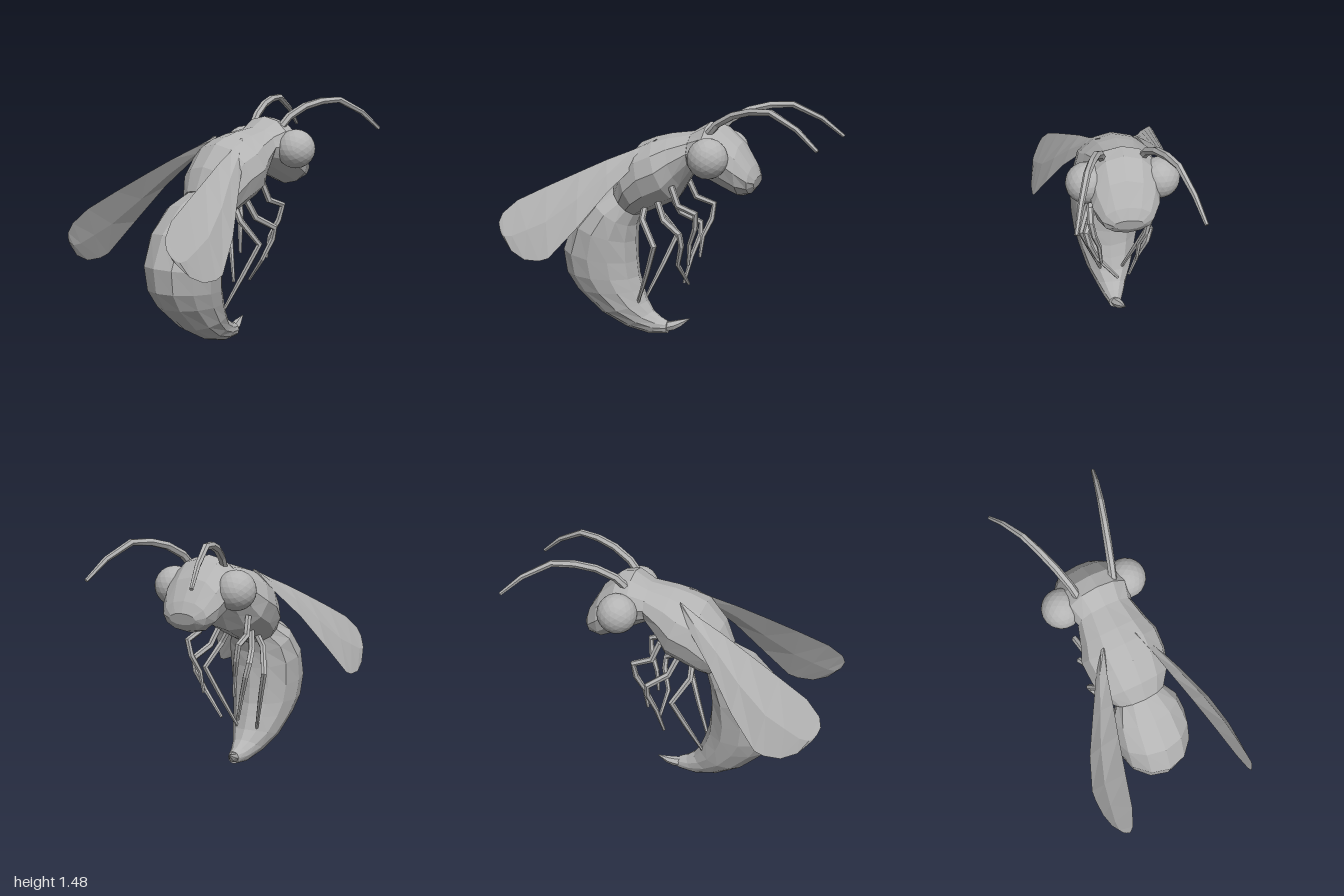
import * as THREE from 'three';

const MID = 0.018; // body's centre plane
const grey = new THREE.MeshStandardMaterial({ color: 0xb4b4b4, flatShading: true });
grey.name = 'grey';
const V = (x, y, z) => new THREE.Vector3(x, y, z);

// Skin a row of equal-length rings, close both ends and face the surface outwards
function loft(name, rings) {
  const tris = [];
  const n = rings[0].length;
  for (let i = 0; i + 1 < rings.length; i++) {
    for (let j = 0; j < n; j++) {
      const k = (j + 1) % n;
      const [a, b, c, d] = [rings[i][j], rings[i][k], rings[i + 1][k], rings[i + 1][j]];
      tris.push([a, b, c], [a, c, d]);
    }
  }
  const cap = (ring, flip) => {
    const mid = V(0, 0, 0);
    ring.forEach(p => mid.addScaledVector(p, 1 / n));
    ring.forEach((p, j) => {
      const q = ring[(j + 1) % n];
      tris.push(flip ? [mid, q, p] : [mid, p, q]);
    });
  };
  cap(rings[0], true);
  cap(rings[rings.length - 1], false);
  let volume = 0;
  for (const [a, b, c] of tris) volume += a.dot(b.clone().cross(c));
  if (volume < 0) tris.forEach(t => t.reverse());
  const geo = new THREE.BufferGeometry().setFromPoints(tris.flat());
  geo.computeVertexNormals();
  const mesh = new THREE.Mesh(geo, grey);
  mesh.name = name;
  return mesh;
}

// Body section from its top point, bottom point and half width
function section([tx, ty, bx, by, w], sides = 12) {
  return Array.from({ length: sides }, (_, j) => {
    const a = (j / sides) * Math.PI * 2;
    const t = (1 - Math.cos(a)) / 2;
    return V(tx + (bx - tx) * t, ty + (by - ty) * t, MID + w * Math.sin(a));
  });
}

// Tapering limb swept through points
function limb(name, pts, r0, r1, sides = 6) {
  const last = pts.length - 1;
  const rings = pts.map((p, i) => {
    const dir = pts[Math.min(i + 1, last)].clone().sub(pts[Math.max(i - 1, 0)]).normalize();
    const u = V(0, 0, 1).addScaledVector(dir, -dir.z).normalize();
    const v = dir.clone().cross(u);
    const r = r0 + (r1 - r0) * (i / last) ** 3;
    return Array.from({ length: sides }, (_, j) => {
      const a = (j / sides) * Math.PI * 2;
      return p.clone().addScaledVector(u, r * Math.cos(a)).addScaledVector(v, r * Math.sin(a));
    });
  });
  return loft(name, rings);
}

// Body profiles: top x, top y, bottom x, bottom y, half width
const HEAD = [
  [0.13, 1.305, 0.14, 1.08, 0.17],
  [0.25, 1.375, 0.24, 1.03, 0.205],
  [0.34, 1.36, 0.36, 0.97, 0.21],
  [0.45, 1.26, 0.45, 0.932, 0.195],
  [0.53, 1.13, 0.51, 0.95, 0.15],
  [0.557, 1.06, 0.54, 0.99, 0.09],
];
const THORAX = [
  [0.15, 1.315, 0.15, 1.07, 0.18],
  [0.0, 1.295, 0.09, 0.97, 0.215],
  [-0.1, 1.27, 0.04, 0.885, 0.25],
  [-0.2, 1.23, -0.09, 0.825, 0.245],
  [-0.31, 1.1, -0.17, 0.79, 0.22],
  [-0.37, 0.96, -0.22, 0.77, 0.165],
];
const ABDOMEN = [
  [-0.34, 0.97, -0.21, 0.79, 0.14],
  [-0.5, 0.885, -0.24, 0.7, 0.215],
  [-0.65, 0.73, -0.245, 0.6, 0.237],
  [-0.725, 0.54, -0.237, 0.47, 0.23],
  [-0.705, 0.39, -0.225, 0.37, 0.215],
  [-0.635, 0.28, -0.2, 0.29, 0.19],
  [-0.47, 0.13, -0.17, 0.21, 0.15],
  [-0.3, 0.04, -0.13, 0.15, 0.1],
  [-0.15, 0.005, -0.08, 0.115, 0.065],
  [-0.03, 0.015, -0.03, 0.095, 0.038],
];

// Wing ribs: leading x, y, trailing x, y
const WING = [
  [-0.065, 1.265, -0.075, 1.245],
  [-0.2, 1.2, -0.15, 1.13],
  [-0.36, 1.135, -0.31, 0.955],
  [-0.52, 1.06, -0.47, 0.74],
  [-0.72, 0.965, -0.63, 0.555],
  [-0.9, 0.875, -0.69, 0.535],
  [-0.985, 0.795, -0.79, 0.535],
  [-1.0, 0.74, -0.885, 0.58],
  [-0.985, 0.7, -0.96, 0.66],
];

function wing(name, s) {
  const spread = y => 0.11 + 0.74 * (1.255 - y) - 0.3 * (1.255 - y) ** 2;
  const rings = WING.map(([lx, ly, tx, ty], i) => {
    const mx = (lx + tx) / 2, my = (ly + ty) / 2;
    const h = i === WING.length - 1 ? 0.004 : 0.012;
    return [
      V(lx, ly, s * spread(ly)),
      V(mx, my + h * 0.5, s * (spread(my) + h)),
      V(tx, ty, s * spread(ty)),
      V(mx, my - h * 0.5, s * (spread(my) - h)),
    ];
  });
  return loft(name, rings);
}

// Leg paths as x, y and distance from the centre plane
const LEGS = {
  FrontLeg: [[0.05, 0.99, 0.155], [0.1, 0.875, 0.17], [0.215, 0.835, 0.18], [0.205, 0.74, 0.16], [0.16, 0.635, 0.125], [0.145, 0.5, 0.11]],
  MiddleLeg: [[-0.05, 0.88, 0.12], [0.0, 0.775, 0.15], [0.12, 0.705, 0.2], [0.125, 0.63, 0.18], [0.085, 0.5, 0.13], [0.08, 0.34, 0.04]],
  RearLeg: [[-0.14, 0.86, 0.1], [-0.14, 0.77, 0.15], [-0.04, 0.62, 0.215], [-0.11, 0.44, 0.15], [-0.205, 0.215, 0.07]],
};
const ANTENNA = [[0.27, 1.31], [0.33, 1.375], [0.44, 1.435], [0.56, 1.465], [0.69, 1.47], [0.86, 1.385], [0.99, 1.275]];

export function createModel() {
  const model = new THREE.Group();
  model.name = 'wasp';
  model.add(
    loft('head', HEAD.map(r => section(r))),
    loft('thorax', THORAX.map(r => section(r))),
    loft('abdomen', ABDOMEN.map(r => section(r))),
    limb('stinger', [V(-0.05, 0.055, MID), V(0.0, 0.065, 0), V(0.04, 0.08, -0.015), V(0.1, 0.11, -0.03)], 0.032, 0.003),
  );

  for (const [side, s] of [['left', 1], ['right', -1]]) {
    const eye = new THREE.Mesh(new THREE.IcosahedronGeometry(0.122, 3), grey);
    eye.name = side + 'Eye';
    eye.position.set(0.3, 1.18, MID + s * 0.215);
    model.add(eye, wing(side + 'Wing', s));

    const feeler = ANTENNA.map(([x, y]) => V(x, y, MID + s * (0.115 + (x - 0.27) * 0.325)));
    model.add(limb(side + 'Antenna', feeler, 0.025, 0.012));

    for (const [leg, path] of Object.entries(LEGS)) {
      const pts = path.map(([x, y, z]) => V(x, y, MID + s * z));
      // the middle feet are set slightly apart
      if (leg === 'MiddleLeg') pts[pts.length - 1].add(V(s * 0.03, s * 0.01, -0.04));
      model.add(limb(side + leg, pts, 0.021, 0.01));
    }
  }
  return model;
}
